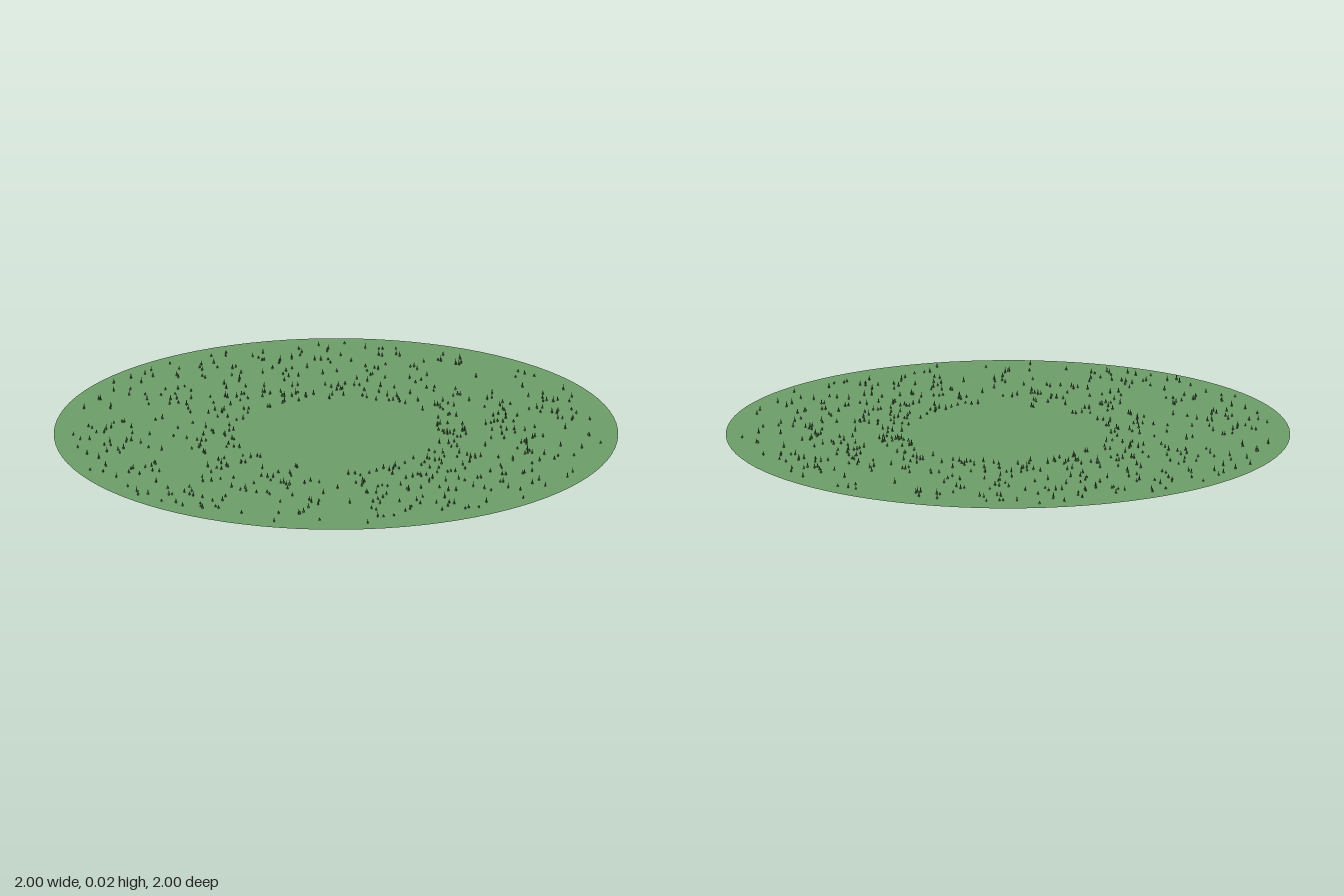
import * as THREE from 'three';
import { mergeGeometries } from 'three/addons/utils/BufferGeometryUtils.js';

// Small seeded generator so the meadow is always the same
function seeded(seed) {
  return () => {
    seed = (seed * 1664525 + 1013904223) % 4294967296;
    return seed / 4294967296;
  };
}

export function createModel() {
  const group = new THREE.Group();
  group.name = 'grassyGround';

  // Flat round lawn
  const lawn = new THREE.Mesh(
    new THREE.CircleGeometry(1, 96).rotateX(-Math.PI / 2),
    new THREE.MeshStandardMaterial({ color: 0x6f9f6a, side: THREE.DoubleSide })
  );
  lawn.name = 'lawn';
  group.add(lawn);

  // Tiny upright blades in a ring around the bare centre, denser inwards
  const random = seeded(17);
  const blades = [];
  for (let i = 0; i < 620; i++) {
    const angle = random() * Math.PI * 2;
    const radius = 0.36 + 0.59 * random();
    const height = 0.011 + 0.012 * random();
    const blade = new THREE.ConeGeometry(0.004, height, 4, 1, true);
    blade.translate(0, height / 2, 0);
    blade.rotateY(random() * Math.PI);
    blade.translate(Math.cos(angle) * radius, 0, Math.sin(angle) * radius);
    blades.push(blade);
  }
  const grass = new THREE.Mesh(
    mergeGeometries(blades),
    new THREE.MeshStandardMaterial({ color: 0x4f7f48, flatShading: true, side: THREE.DoubleSide })
  );
  grass.name = 'grassBlades';
  group.add(grass);

  return group;
}
